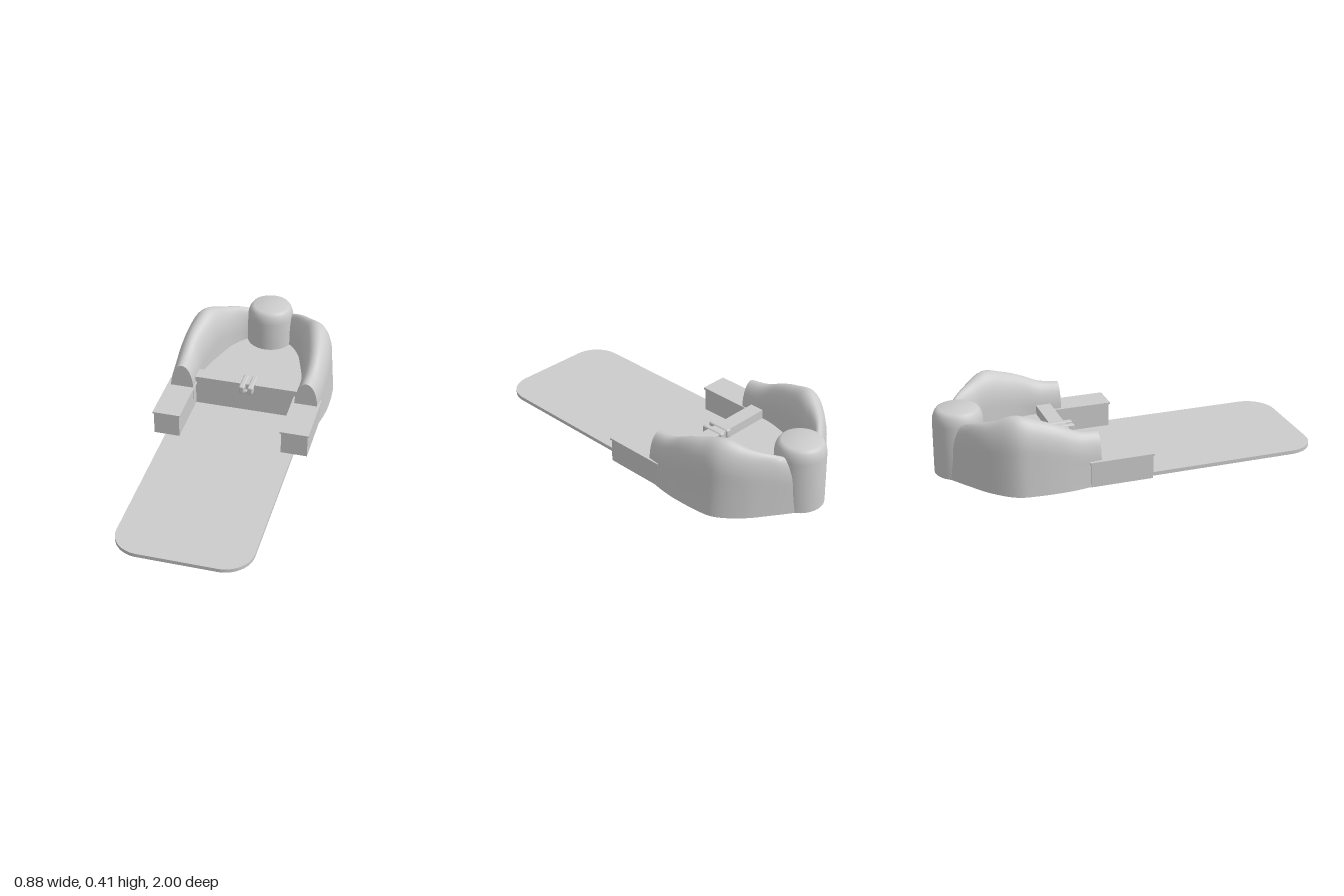
import * as THREE from 'three';
import { RoundedBoxGeometry } from 'three/addons/geometries/RoundedBoxGeometry.js';
import { toCreasedNormals } from 'three/addons/utils/BufferGeometryUtils.js';

const GROUND = 0.02;

// Arm stations on the +x side: inner x, inner z, outer x, outer z, ridge height
const STATIONS = [
  [0.285, -0.235, 0.412, -0.235, 0.29],
  [0.288, -0.34, 0.422, -0.34, 0.305],
  [0.285, -0.43, 0.425, -0.45, 0.35],
  [0.262, -0.53, 0.42, -0.56, 0.388],
  [0.228, -0.64, 0.40, -0.67, 0.415],
  [0.195, -0.73, 0.31, -0.785, 0.375],
  [0.13, -0.82, 0.2, -0.87, 0.34],
  [0.06, -0.85, 0.095, -0.94, 0.30],
];

export function createModel() {
  const group = new THREE.Group();
  const mat = new THREE.MeshStandardMaterial({ color: 0xcccccc });

  function add(name, geometry, x = 0, y = 0, z = 0) {
    const mesh = new THREE.Mesh(geometry, mat);
    mesh.name = name;
    mesh.position.set(x, y, z);
    group.add(mesh);
    return mesh;
  }
  // Box given by its limits
  function box(name, x0, x1, y0, y1, z0, z1) {
    add(name, new THREE.BoxGeometry(x1 - x0, y1 - y0, z1 - z0),
      (x0 + x1) / 2, (y0 + y1) / 2, (z0 + z1) / 2);
  }
  // Flat plate from a plan shape drawn in (x, -z)
  function plate(name, shape, y0, y1) {
    const geo = new THREE.ExtrudeGeometry(shape, { depth: y1 - y0, bevelEnabled: false, curveSegments: 10 });
    geo.rotateX(-Math.PI / 2);
    add(name, toCreasedNormals(geo, 0.6), 0, y0, 0);
  }

  // Long front mat with two rounded corners
  const m = new THREE.Shape();
  const L = -0.365, R = 0.342, r = 0.15;
  m.moveTo(R, 0.33);
  m.lineTo(L, 0.33);
  m.lineTo(L, -1 + r);
  m.absarc(L + r, -1 + r, r, Math.PI, Math.PI * 1.5, false);
  m.absarc(R - r, -1 + r, r, Math.PI * 1.5, Math.PI * 2, false);
  plate('frontMat', m, 0, GROUND);

  // Smooth the stations
  const inner = new THREE.CatmullRomCurve3(STATIONS.map(s => new THREE.Vector3(s[0], s[4], s[1])));
  const outer = new THREE.CatmullRomCurve3(STATIONS.map(s => new THREE.Vector3(s[2], s[4], s[3])));
  const N = 35;

  // Raised floor filling the space between the arms
  const rim = [];
  for (let i = 0; i <= N; i++) rim.push(outer.getPoint(i / N));
  const right = rim.map(p => new THREE.Vector2(p.x - 0.01, -p.z - 0.004)).filter(p => p.y > 0.3);
  const left = right.map(p => new THREE.Vector2(-p.x, p.y)).reverse();
  const front = [new THREE.Vector2(-0.4, 0.3), new THREE.Vector2(0.4, 0.3)];
  plate('floor', new THREE.Shape([...front, ...right, ...left]), GROUND, 0.14);

  // Arched arm swept along the stations; side is +1 or -1
  function armGeometry(side) {
    const pos = [], idx = [], ARCH = 16, M = ARCH + 3;
    for (let i = 0; i <= N; i++) {
      const a = inner.getPoint(i / N), b = outer.getPoint(i / N);
      const top = a.y, spring = 0.15 + (top - 0.29) * 0.7;
      const splay = 0.09 * Math.min(1, i / 8);
      const point = (t, y) => pos.push(side * (a.x + (b.x - a.x) * t), y, a.z + (b.z - a.z) * t);
      point(0, GROUND);
      for (let k = 0; k <= ARCH; k++) {
        const ang = Math.PI * k / ARCH;
        point(0.5 - 0.5 * Math.cos(ang), spring + (top - spring) * Math.sin(ang));
      }
      point(1 + splay, GROUND);
    }
    const tri = (a, b, c) => (side > 0 ? idx.push(a, b, c) : idx.push(a, c, b));
    for (let i = 0; i < N; i++) {
      for (let k = 0; k < M; k++) {
        const k2 = (k + 1) % M;
        const a = i * M + k, b = i * M + k2, c = a + M, d = b + M;
        tri(a, b, c);
        tri(b, d, c);
      }
    }
    // flat ends
    for (let k = 1; k < M - 1; k++) {
      tri(0, k + 1, k);
      tri(N * M, N * M + k, N * M + k + 1);
    }
    const geo = new THREE.BufferGeometry();
    geo.setAttribute('position', new THREE.Float32BufferAttribute(pos, 3));
    geo.setIndex(idx);
    return toCreasedNormals(geo, 0.7);
  }
  add('leftArm', armGeometry(1));
  add('rightArm', armGeometry(-1));

  // Round rear post with a rounded shoulder
  const profile = [[0, 0.02], [0.132, 0.02], [0.13, 0.3], [0.127, 0.325], [0.119, 0.348], [0.109, 0.362], [0.097, 0.368], [0, 0.368]]
    .map(p => new THREE.Vector2(p[0], p[1]));
  add('rearPost', toCreasedNormals(new THREE.LatheGeometry(profile, 40), 0.5), 0, 0, -0.868);

  // Side blocks with thin caps
  for (const [name, x0, x1] of [['left', 0.27, 0.425], ['right', -0.433, -0.28]]) {
    box(name + 'Block', x0 + 0.006, x1 - 0.006, GROUND, 0.148, -0.295, 0.035);
    box(name + 'BlockCap', x0, x1, 0.147, 0.157, -0.3, 0.042);
  }

  // Front wall and its pair of clasps
  box('frontWall', -0.3, 0.295, GROUND, 0.19, -0.375, -0.295);
  for (const x of [-0.017, 0.031]) {
    add('clasp', new RoundedBoxGeometry(0.031, 0.045, 0.13, 3, 0.009), x, 0.1725, -0.32);
  }
  box('claspBar', -0.015, 0.03, 0.15, 0.155, -0.31, -0.275);

  return group;
}
